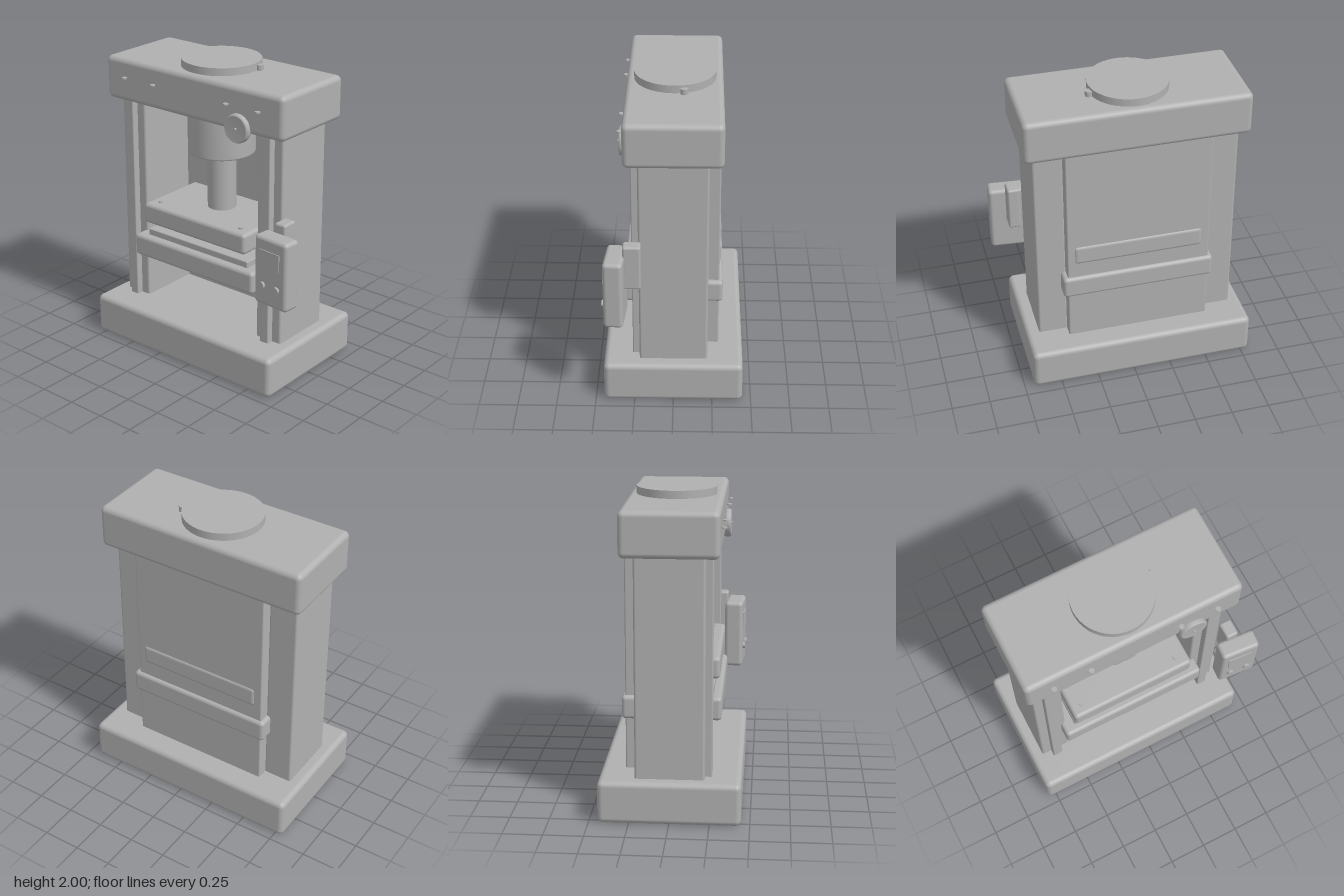
import * as THREE from 'three';
import { RoundedBoxGeometry } from 'three/addons/geometries/RoundedBoxGeometry.js';

export function createModel() {
  const press = new THREE.Group();
  press.name = 'hydraulicPress';
  const grey = new THREE.MeshStandardMaterial({ color: 0xb0b0b0 });
  grey.name = 'machineGrey';

  function add(name, geometry, x, y, z, parent = press) {
    const mesh = new THREE.Mesh(geometry, grey);
    mesh.name = name;
    mesh.position.set(x, y, z);
    parent.add(mesh);
    return mesh;
  }
  // Rounded box given by its limits on each axis
  const block = (name, [x0, x1], [y0, y1], [z0, z1], r, parent) =>
    add(name, new RoundedBoxGeometry(x1 - x0, y1 - y0, z1 - z0, 4, r),
      (x0 + x1) / 2, (y0 + y1) / 2, (z0 + z1) / 2, parent);
  // Upright cylinder from y0 to y1
  const post = (name, x, z, r, y0, y1) =>
    add(name, new THREE.CylinderGeometry(r, r, y1 - y0, 48), x, (y0 + y1) / 2, z);
  // Disc facing +z, centred on z
  const dial = (name, x, y, z, r, depth, parent) => {
    const mesh = add(name, new THREE.CylinderGeometry(r, r, depth, 40), x, y, z, parent);
    mesh.rotation.x = Math.PI / 2;
    return mesh;
  };

  // Frame
  block('base', [-0.806, 0.686], [0, 0.272], [-0.445, 0.445], 0.035);
  block('topBeam', [-0.78, 0.66], [1.665, 1.95], [-0.303, 0.303], 0.035);
  block('backPanel', [-0.535, 0.41], [0.25, 1.69], [-0.29, -0.2], 0.01);
  for (const [side, x] of [['right', -0.6275], ['left', 0.5025]]) {
    block(side + 'Column', [x - 0.0975, x + 0.0975], [0.25, 1.69], [-0.217, 0.217], 0.015);
    block(side + 'GuideRail', [x - 0.0325, x + 0.0325], [0.25, 1.69], [0.2, 0.262], 0.008);
  }

  // Fixed bed, plates and moving platen
  block('bed', [-0.562, 0.442], [0.602, 0.752], [-0.312, 0.312], 0.025);
  block('lowerPlate', [-0.482, 0.362], [0.74, 0.795], [-0.26, 0.26], 0.008);
  block('workpiece', [-0.22, 0.1], [0.785, 0.83], [-0.14, 0.14], 0.005);
  block('upperPlate', [-0.398, 0.275], [0.818, 0.86], [-0.21, 0.21], 0.008);
  block('platen', [-0.486, 0.366], [0.85, 0.99], [-0.298, 0.298], 0.025);
  for (const x of [-0.405, 0.28])
    for (const z of [-0.22, 0.22]) post('platenBolt', x, z, 0.016, 0.98, 1.0);

  // Hydraulic cylinder with a softened lower rim
  const barrel = [[0, 1.375], [0.205, 1.375], [0.215, 1.379], [0.22, 1.39], [0.22, 1.68]];
  add('hydraulicCylinder', new THREE.LatheGeometry(
    barrel.map(([r, y]) => new THREE.Vector2(r, y)), 64), -0.06, 0, 0);
  post('ram', -0.06, 0, 0.094, 0.98, 1.39);
  post('cylinderCap', -0.06, 0, 0.256, 1.94, 2.0);
  post('oilPipe', 0.2, -0.06, 0.024, 1.545, 1.985);

  // Hanging valve lever
  post('valveRod', 0.378, 0, 0.018, 1.48, 1.68);
  post('valveGrip', 0.378, 0, 0.028, 1.355, 1.49);

  // Pressure gauge
  const gauge = [[0, 0.28], [0.075, 0.28], [0.088, 0.288], [0.092, 0.3], [0.092, 0.322],
    [0.087, 0.333], [0.078, 0.335], [0.076, 0.331], [0, 0.331]];
  add('gauge', new THREE.LatheGeometry(
    gauge.map(([r, z]) => new THREE.Vector2(r, z)), 48), 0.322, 1.692, 0).rotation.x = Math.PI / 2;
  dial('gaugePin', 0.322, 1.692, 0.335, 0.008, 0.02);

  // Small studs along the beam front
  for (const x of [-0.605, -0.36, 0.237, 0.483]) post('beamStud', x, 0.321, 0.017, 1.826, 1.834);

  // Control box, turned slightly outward, and its bracket
  block('controlBracket', [0.61, 0.692], [0.85, 1.15], [0.198, 0.31], 0.015);
  const control = new THREE.Group();
  control.name = 'controlBox';
  control.position.set(0.668, 0, 0.358);
  control.rotation.y = -0.08;
  press.add(control);
  block('controlHousing', [-0.13, 0.13], [0.633, 1.09], [-0.061, 0.061], 0.025, control);
  add('controlScreen', new THREE.BoxGeometry(0.16, 0.115, 0.008), -0.003, 0.95, 0.063, control);
  for (const x of [-0.058, 0.058]) dial('controlButton', x, 0.77, 0.066, 0.022, 0.022, control);

  return press;
}
